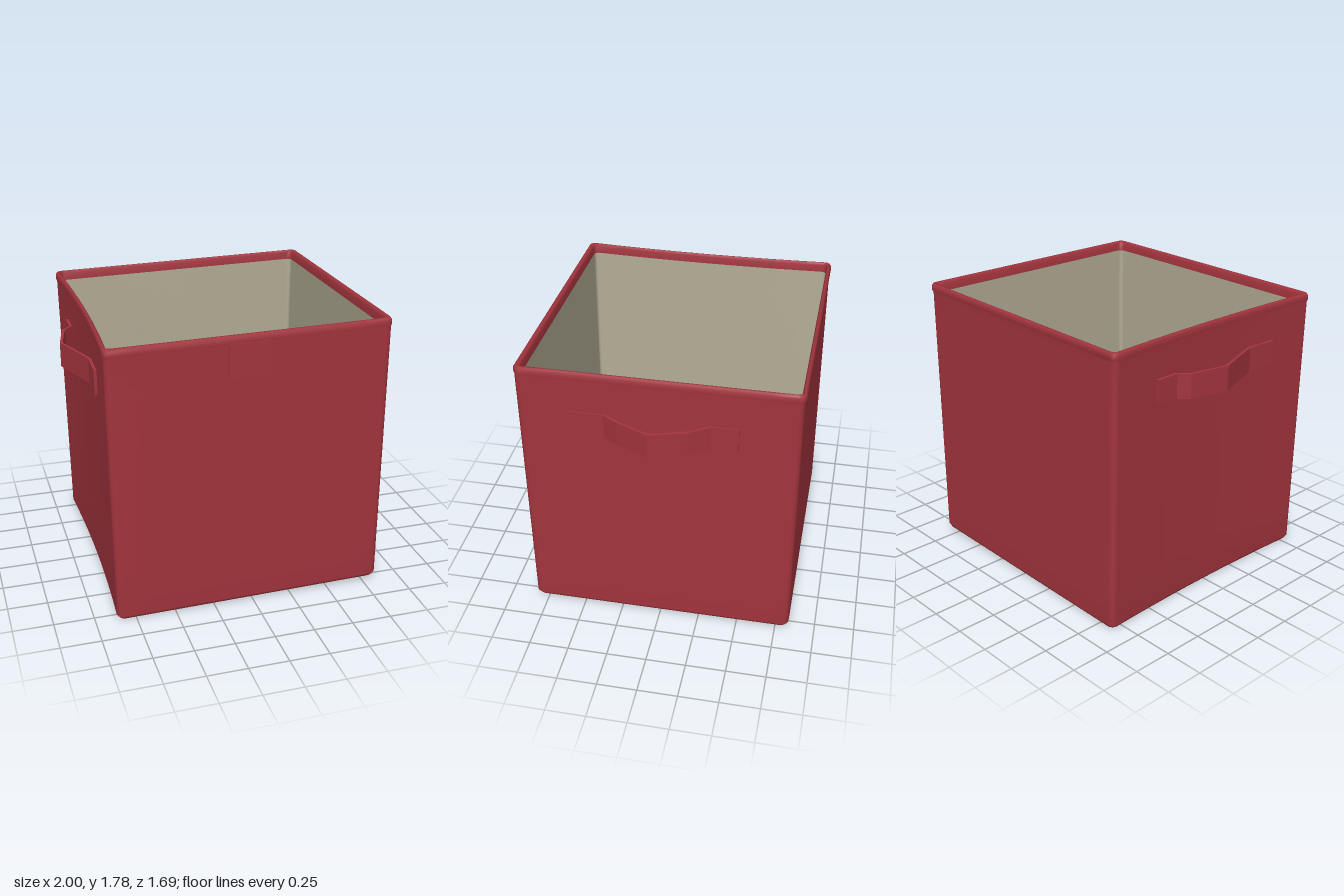
import * as THREE from 'three';

const red = new THREE.MeshStandardMaterial({ color: 0xa3343d });
red.name = 'red fabric';
const beige = new THREE.MeshStandardMaterial({ color: 0xb0ab93, side: THREE.DoubleSide });
beige.name = 'beige lining';

// Rounded rectangle, anticlockwise from above, with subdivided sides
function ring([y, x0, x1, z0, z1, r]) {
  const corners = [[x1 - r, z0 + r, 0], [x0 + r, z0 + r, 1], [x0 + r, z1 - r, 2], [x1 - r, z1 - r, 3]];
  const points = [];
  corners.forEach(([cx, cz, q], k) => {
    for (let i = 0; i <= 4; i++) {
      const a = (q + i / 4) * Math.PI / 2;
      points.push(new THREE.Vector3(cx + r * Math.cos(a), y, cz - r * Math.sin(a)));
    }
    const [nx, nz, nq] = corners[(k + 1) % 4];
    const a = nq * Math.PI / 2;
    const from = points[points.length - 1].clone();
    const to = new THREE.Vector3(nx + r * Math.cos(a), y, nz - r * Math.sin(a));
    for (let i = 1; i < 10; i++) points.push(from.clone().lerp(to, i / 10));
  });
  return points;
}

// Gentle sag of the cloth: slanted rim and a left side that dips inward
function settle(p) {
  if (p.x < 0) p.x += 0.028 * (1 - (p.z / 0.84) ** 2) * (p.x / -0.88) ** 4;
  p.y += 0.016 * p.x;
  return p;
}

function loft(name, rows, material, crumple) {
  const positions = [], index = [];
  let n = 0;
  rows.forEach((row, j) => {
    const points = ring(row);
    n = points.length;
    points.forEach((p, i) => {
      if (crumple) crumple(p);
      settle(p);
      positions.push(p.x, p.y, p.z);
      if (j === rows.length - 1) return;
      const a = j * n + i, b = j * n + (i + 1) % n;
      index.push(a, b, b + n, a, b + n, a + n);
    });
  });
  const g = new THREE.BufferGeometry();
  g.setAttribute('position', new THREE.Float32BufferAttribute(positions, 3));
  g.setIndex(index);
  g.computeVertexNormals();
  const mesh = new THREE.Mesh(g, material);
  mesh.name = name;
  return mesh;
}

// Rings from the centre of a panel out to its edge
function panelRows(y, x0, x1, z0, z1, r) {
  const rows = [];
  for (let i = 0; i <= 8; i++) {
    const t = Math.max(i / 8, 0.002);
    rows.push([y, x0 * t, x1 * t, z0 * t, z1 * t, r * t]);
  }
  return rows;
}

// Flat strap following [x, z] points, extruded upwards
function strap(name, path, y, height, thickness) {
  const inner = path.map(([x, z]) => [x - Math.sign(x) * thickness, z]).reverse();
  const shape = new THREE.Shape([...path, ...inner].map(([x, z]) => new THREE.Vector2(x, -z)));
  const g = new THREE.ExtrudeGeometry(shape, { depth: height, bevelEnabled: false });
  g.rotateX(-Math.PI / 2);
  const mesh = new THREE.Mesh(g, red);
  mesh.name = name;
  mesh.position.y = y;
  return mesh;
}

function plate(name, size, position, material) {
  const mesh = new THREE.Mesh(new THREE.BoxGeometry(...size), material);
  mesh.name = name;
  mesh.position.set(...position);
  return mesh;
}

export function createModel() {
  const group = new THREE.Group();
  group.name = 'storageBin';

  // Underside
  group.add(loft('underside', panelRows(0.02, -0.835, 0.81, -0.805, 0.795, 0.04), beige, p => {
    const edge = Math.max(Math.abs(p.x), Math.abs(p.z)) / 0.82;
    p.y += 0.012 * (1 - edge ** 2) * (1 + Math.sin(4 * p.x + 7 * p.z));
  }));

  // Outer walls with a rounded hem folded over the rim
  const outer = [
    [0.02, -0.835, 0.81, -0.805, 0.795, 0.04],
    [0.022, -0.855, 0.828, -0.822, 0.813, 0.04],
    [0.045, -0.87, 0.84, -0.835, 0.826, 0.04],
  ];
  for (let i = 1; i <= 6; i++) {
    const t = i / 6;
    outer.push([0.045 + 1.675 * t, -0.87 - 0.022 * t, 0.84, -0.835, 0.826 + 0.009 * t, 0.04]);
  }
  outer.push(
    [1.735, -0.897, 0.843, -0.843, 0.838, 0.04],
    [1.762, -0.897, 0.843, -0.843, 0.838, 0.04],
    [1.776, -0.888, 0.834, -0.834, 0.829, 0.035],
    [1.776, -0.875, 0.818, -0.822, 0.81, 0.03],
    [1.762, -0.866, 0.806, -0.815, 0.8, 0.03],
    [1.715, -0.864, 0.802, -0.813, 0.797, 0.03],
  );
  group.add(loft('outerWalls', outer, red));

  // Lining walls, the left one leaning inwards
  const lining = [];
  for (let i = 0; i <= 8; i++) {
    const t = i / 8;
    lining.push([1.716 - 1.666 * t, -0.864 + 0.075 * t, 0.802 - 0.012 * t, -0.813, 0.797 - 0.01 * t, 0.025]);
  }
  group.add(loft('liningWalls', lining, beige, p => {
    const fade = Math.sin(Math.PI * Math.min(1, Math.max(0, p.y / 1.72)));
    if (p.z < -0.8) p.z += 0.006 * fade * (1 + Math.sin(5 * p.x + 6 * p.y));
  }));

  // Floor inside
  group.add(loft('floor', panelRows(0.05, -0.789, 0.79, -0.813, 0.787, 0.025).reverse(), beige, p => {
    const edge = Math.max(Math.abs(p.x), Math.abs(p.z)) / 0.82;
    p.y += 0.008 * (1 - edge ** 2) * Math.sin(2 * p.x + 8 * p.z);
  }));
  group.add(plate('floorTab', [0.17, 0.02, 0.075], [-0.695, 0.05, -0.012], beige));

  // Front label tab
  group.add(plate('frontTab', [0.25, 0.21, 0.016], [-0.045, 1.625, 0.837], red));

  // Side handles: stitched ends with a loop between
  group.add(strap('leftHandle', [
    [0.85, 0.52], [0.85, 0.31], [0.905, 0.22], [0.955, 0.11], [0.997, 0.02],
    [0.965, -0.09], [0.93, -0.2], [0.87, -0.29], [0.85, -0.32], [0.85, -0.48],
  ], 1.375, 0.155, 0.018));
  group.add(strap('rightHandle', [
    [-0.889, 0.5], [-0.882, 0.29], [-0.91, 0.21], [-0.955, 0.08], [-1, -0.04],
    [-0.975, -0.16], [-0.945, -0.29], [-0.89, -0.35], [-0.889, -0.5],
  ], 1.37, 0.155, 0.018));

  return group;
}
